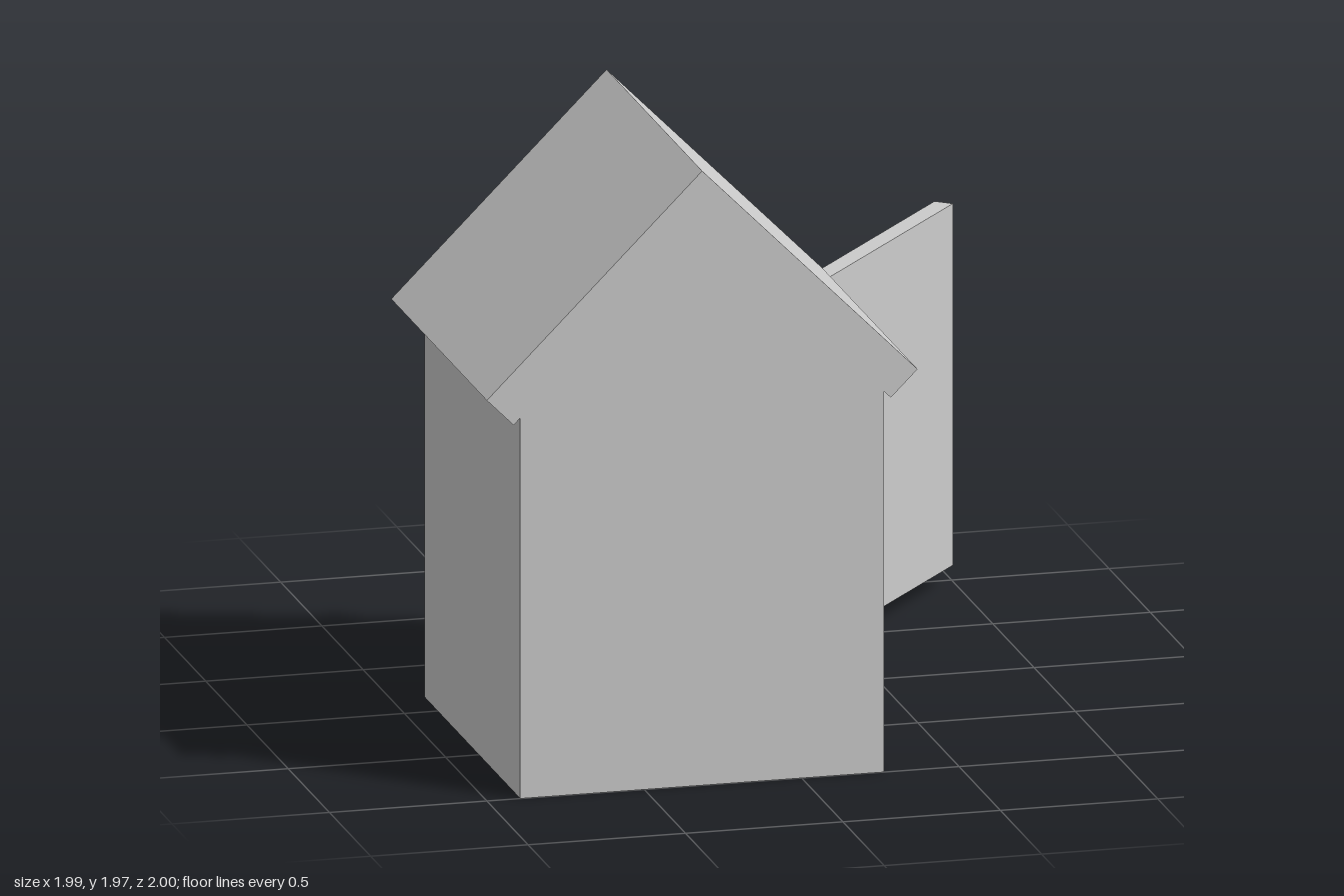
import * as THREE from 'three';

const material = new THREE.MeshStandardMaterial({ color: 0xcccccc, flatShading: true });

export function createModel() {
  const model = new THREE.Group();
  const backZ = -0.16, frontZ = 1, wall = 0.06;
  const midX = -0.316, halfWidth = 0.578;

  const add = (name, geometry, x, y, z, parent = model) => {
    const mesh = new THREE.Mesh(geometry, material);
    mesh.name = name;
    mesh.position.set(x, y, z);
    parent.add(mesh);
    return mesh;
  };
  const box = (w, h, d) => new THREE.BoxGeometry(w, h, d);
  const outline = (points) => new THREE.Shape(points.map(([x, y]) => new THREE.Vector2(x, y)));
  const extrude = (shape, depth) => new THREE.ExtrudeGeometry(shape, { depth, bevelEnabled: false });

  // Gabled body with two compartments open at the back
  const gable = [[-halfWidth, 0], [halfWidth, 0], [halfWidth, 1.217], [0, 1.795], [-halfWidth, 1.217]];
  const shell = outline(gable);
  const inner = halfWidth - 0.065;
  for (const [bottom, top] of [[0.11, 0.575], [0.685, 1.203]]) {
    shell.holes.push(outline([[-inner, bottom], [-inner, top], [inner, top], [inner, bottom]]));
  }
  add('houseShell', extrude(shell, frontZ - wall - backZ), midX, 0, backZ);
  add('frontWall', extrude(outline(gable), wall), midX, 0, frontZ - wall);

  // Folded roof slab with 45 degree slopes
  const roof = outline([
    [0, 1.965], [-0.684, 1.281], [-0.599, 1.196], [0, 1.795], [0.599, 1.196], [0.684, 1.281],
  ]);
  add('roof', extrude(roof, frontZ - backZ), midX, 0, backZ);

  // Board on the back gable
  add('gableBoard', box(0.715, 0.24, 0.05), midX, 1.45, backZ - 0.025);

  // Open door, swung around the back corner
  const door = new THREE.Group();
  door.name = 'door';
  door.position.set(0.261, 0, -0.075);
  door.rotation.y = THREE.MathUtils.degToRad(50.3);
  model.add(door);
  add('doorPanel', box(1.145, 1.157, 0.062), 0.5725, 0.6385, -0.031, door);

  // Boards on the inner face of the door, the lower one tilted
  add('upperDoorBoard', box(0.79, 0.27, 0.03), 0.62, 0.985, -0.077, door);
  const tilted = add('lowerDoorBoard', box(0.79, 0.28, 0.03), 0.62, 0.44, -0.077, door);
  tilted.rotation.z = THREE.MathUtils.degToRad(-26.7);

  // Hinges
  const hingeMaterial = new THREE.MeshStandardMaterial({ color: 0xcccccc });
  for (const y of [0.37, 0.86]) {
    const hinge = add('hinge', new THREE.CylinderGeometry(0.033, 0.033, 0.16, 24), 0.252, y, -0.183);
    hinge.material = hingeMaterial;
  }
  return model;
}
